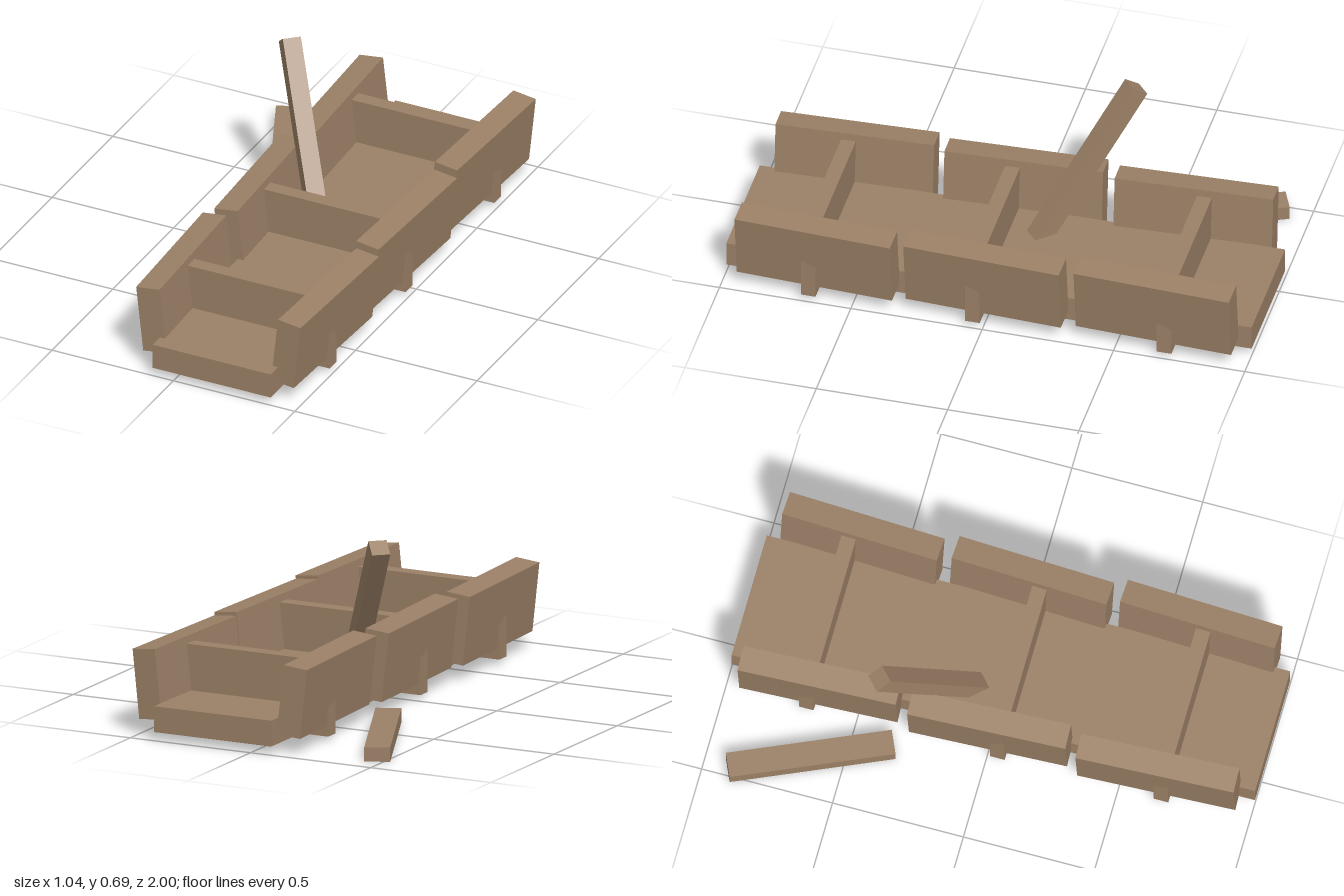
import * as THREE from 'three';

export function createModel() {
  const model = new THREE.Group();
  const wood = new THREE.MeshStandardMaterial({ color: 0x9b8066 });
  wood.name = 'wood brown';
  const midX = 0.157; // centre line of the trough

  function plank(name, w, h, d, x, y, z) {
    const mesh = new THREE.Mesh(new THREE.BoxGeometry(w, h, d), wood);
    mesh.name = name;
    mesh.position.set(x, y, z);
    model.add(mesh);
    return mesh;
  }

  // Long floor board
  plank('floorBoard', 0.487, 0.098, 2, midX, 0.082, 0);

  // Cross dividers that pass under the floor and poke through the walls
  for (const z of [-0.69, 0.04, 0.665]) {
    plank('crossDivider', 0.665, 0.286, 0.056, midX, 0.163, z);
  }

  // Side walls, leaning outwards and slightly toed in at the front
  for (const side of [-1, 1]) {
    for (const z of [-0.648, 0, 0.643]) {
      const wall = plank('sideWall', 0.095, 0.265, 0.598, midX + side * 0.289, 0.197, z);
      wall.rotation.set(0, -side * 0.041, -side * 0.108);
    }
  }

  // Leaning post, its foot sunk into the floor board
  const up = new THREE.Vector3(-0.48, 1, -0.54).normalize();
  const across = new THREE.Vector3(0.54, 0, -0.48).normalize();
  const out = new THREE.Vector3().crossVectors(across, up);
  const length = 0.7;
  const post = plank('leaningPost', 0.069, length, 0.07, -0.22, 0.672, -0.398);
  post.quaternion.setFromRotationMatrix(new THREE.Matrix4().makeBasis(across, up, out));
  post.position.addScaledVector(up, -length / 2);

  // Loose stick lying on the ground
  const stick = plank('looseStick', 0.096, 0.054, 0.618, -0.353, 0.027, -0.624);
  stick.rotation.y = Math.atan2(0.25, 0.565);

  return model;
}
